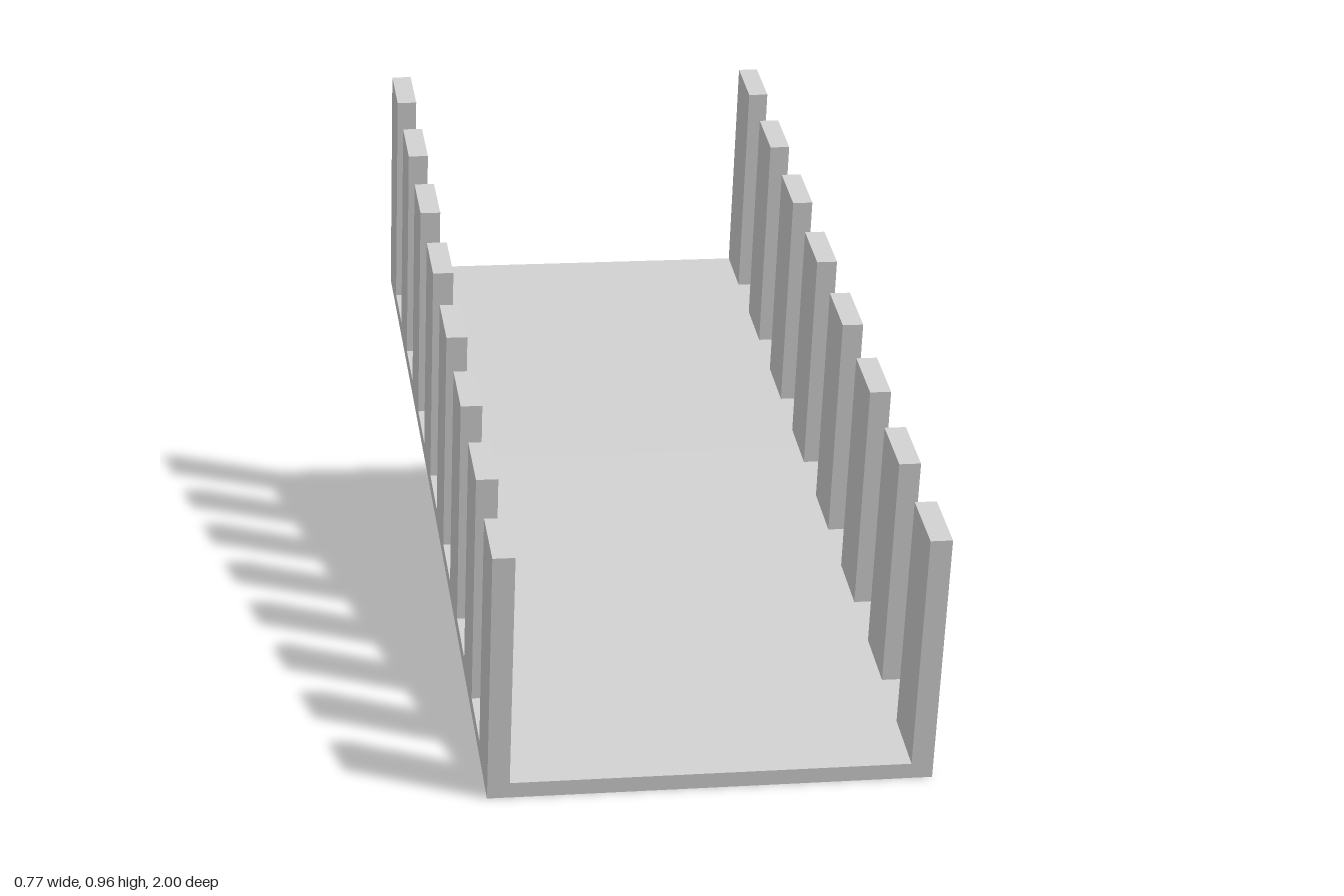
import * as THREE from 'three';

export function createModel() {
  const model = new THREE.Group();
  const ramp = new THREE.Group();
  ramp.name = 'slopedRamp';
  model.add(ramp);

  const material = new THREE.MeshStandardMaterial({ color: 0xcccccc, flatShading: true });
  const length = 1.944, width = 0.766, thickness = 0.029;
  const height = 0.47, postThickness = 0.038, postCount = 8;
  const bow = 0.008; // slight upward arch of the deck
  const postDepth = length / (postCount * 2 - 1); // posts and gaps are equal

  // Deck: gently arched side profile extruded across the width
  const profile = new THREE.Shape();
  profile.moveTo(0, 0);
  profile.quadraticCurveTo(length / 2, bow * 2, length, 0);
  profile.lineTo(length, thickness);
  profile.quadraticCurveTo(length / 2, thickness + bow * 2, 0, thickness);
  profile.closePath();
  const deckGeometry = new THREE.ExtrudeGeometry(profile, { depth: width, bevelEnabled: false, curveSegments: 16 });
  deckGeometry.translate(0, 0, -width / 2);
  deckGeometry.rotateY(Math.PI / 2);
  const deck = new THREE.Mesh(deckGeometry, material);
  deck.name = 'deck';
  ramp.add(deck);

  // Side posts: two mirrored rows, rooted in the deck
  const root = thickness * 0.6;
  const postGeometry = new THREE.BoxGeometry(postThickness, height - root, postDepth);
  for (const [side, name] of [[1, 'leftPost'], [-1, 'rightPost']]) {
    for (let i = 0; i < postCount; i++) {
      const post = new THREE.Mesh(postGeometry, material);
      post.name = name + (i + 1);
      post.position.set(side * (width - postThickness) / 2, (height + root) / 2, -postDepth * (2 * i + 0.5));
      ramp.add(post);
    }
  }

  // Tilt up towards the back, with the front edge on the floor
  const tilt = THREE.MathUtils.degToRad(15);
  ramp.rotation.x = tilt;
  ramp.position.z = 1 - height * Math.sin(tilt);
  return model;
}
